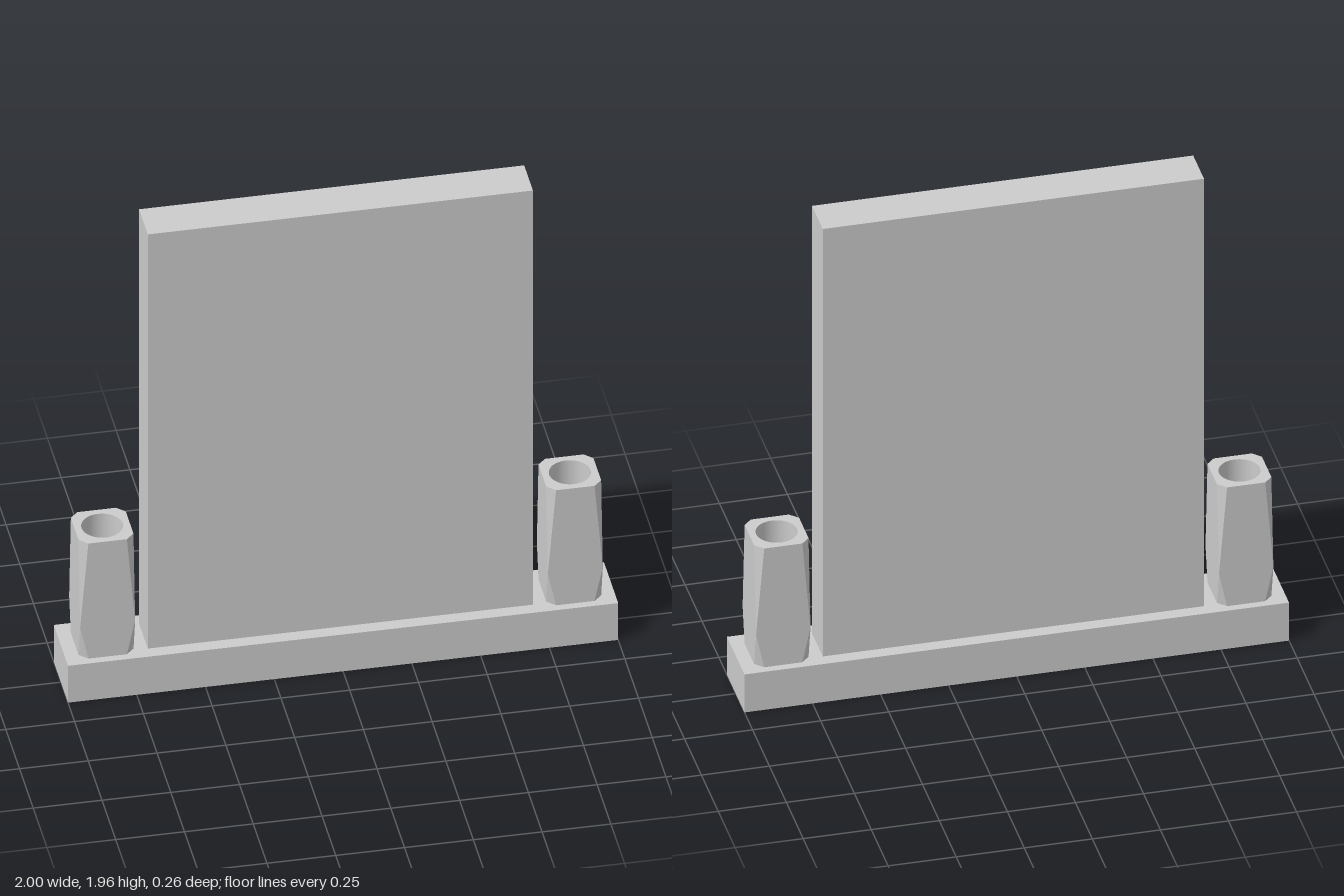
import * as THREE from 'three';

const BASE_TOP = 0.16;
const VASE = { half: 0.1, cut: 0.03, belly: 0.14, height: 0.5, bore: 0.075, floor: 0.04, x: 0.85 };

const grey = new THREE.MeshStandardMaterial({ color: 0xcccccc });
const faceted = new THREE.MeshStandardMaterial({ color: 0xcccccc, flatShading: true });
const inside = new THREE.MeshStandardMaterial({ color: 0xcccccc, side: THREE.DoubleSide });

function addMesh(parent, name, geometry, material, x = 0, y = 0, z = 0) {
  const mesh = new THREE.Mesh(geometry, material);
  mesh.name = name;
  mesh.position.set(x, y, z);
  parent.add(mesh);
  return mesh;
}

// Square of half-width h with its corners cut by c, as eight [x, z] points
function cutSquare(h, c) {
  const points = [];
  let corner = [[h, h - c], [h - c, h]];
  for (let i = 0; i < 4; i++) {
    points.push(...corner);
    corner = corner.map(([x, z]) => [-z, x]);
  }
  return points;
}

// Vase walls: cut corners taper to sharp ones at the belly
function vaseWalls() {
  const { half, cut, belly, height } = VASE;
  const rings = [[0, cut], [belly, 0], [height, cut]].map(([y, c]) =>
    cutSquare(half, c).map(([x, z]) => new THREE.Vector3(x, y, z)));
  const corners = [];
  for (let r = 0; r < 2; r++) {
    for (let i = 0; i < 8; i++) {
      const j = (i + 1) % 8;
      const [a, b] = [rings[r][i], rings[r][j]];
      const [c, d] = [rings[r + 1][j], rings[r + 1][i]];
      for (const tri of [[a, d, c], [a, c, b]]) {
        // skip triangles that collapse at the sharp belly corners
        if (new THREE.Triangle(...tri).getArea() > 1e-6) corners.push(...tri);
      }
    }
  }
  const geometry = new THREE.BufferGeometry().setFromPoints(corners);
  geometry.computeVertexNormals();
  return geometry;
}

function createVase(name, x) {
  const { half, cut, height, bore, floor } = VASE;
  const vase = new THREE.Group();
  vase.name = name;
  vase.position.set(x, BASE_TOP, 0);
  addMesh(vase, 'vaseWalls', vaseWalls(), faceted);

  // Flat rim around the round opening
  const rim = new THREE.Shape(cutSquare(half, cut).map(([px, pz]) => new THREE.Vector2(px, pz)));
  rim.holes.push(new THREE.Path().absarc(0, 0, bore, 0, Math.PI * 2, true));
  addMesh(vase, 'vaseRim', new THREE.ShapeGeometry(rim, 24).rotateX(-Math.PI / 2), grey, 0, height);

  // Round bore and its floor
  const depth = height - floor;
  addMesh(vase, 'vaseBore', new THREE.CylinderGeometry(bore, bore, depth, 48, 1, true), inside, 0, floor + depth / 2);
  addMesh(vase, 'vaseFloor', new THREE.CircleGeometry(bore, 48).rotateX(-Math.PI / 2), grey, 0, floor);
  return vase;
}

export function createModel() {
  const model = new THREE.Group();
  model.name = 'headstone';

  // Plinth and upright slab
  addMesh(model, 'base', new THREE.BoxGeometry(2, BASE_TOP, 0.26), grey, 0, BASE_TOP / 2);
  addMesh(model, 'slab', new THREE.BoxGeometry(1.4, 1.8, 0.16), grey, 0, BASE_TOP + 0.9);

  // A vase at each end of the base
  model.add(createVase('leftVase', VASE.x), createVase('rightVase', -VASE.x));
  return model;
}
